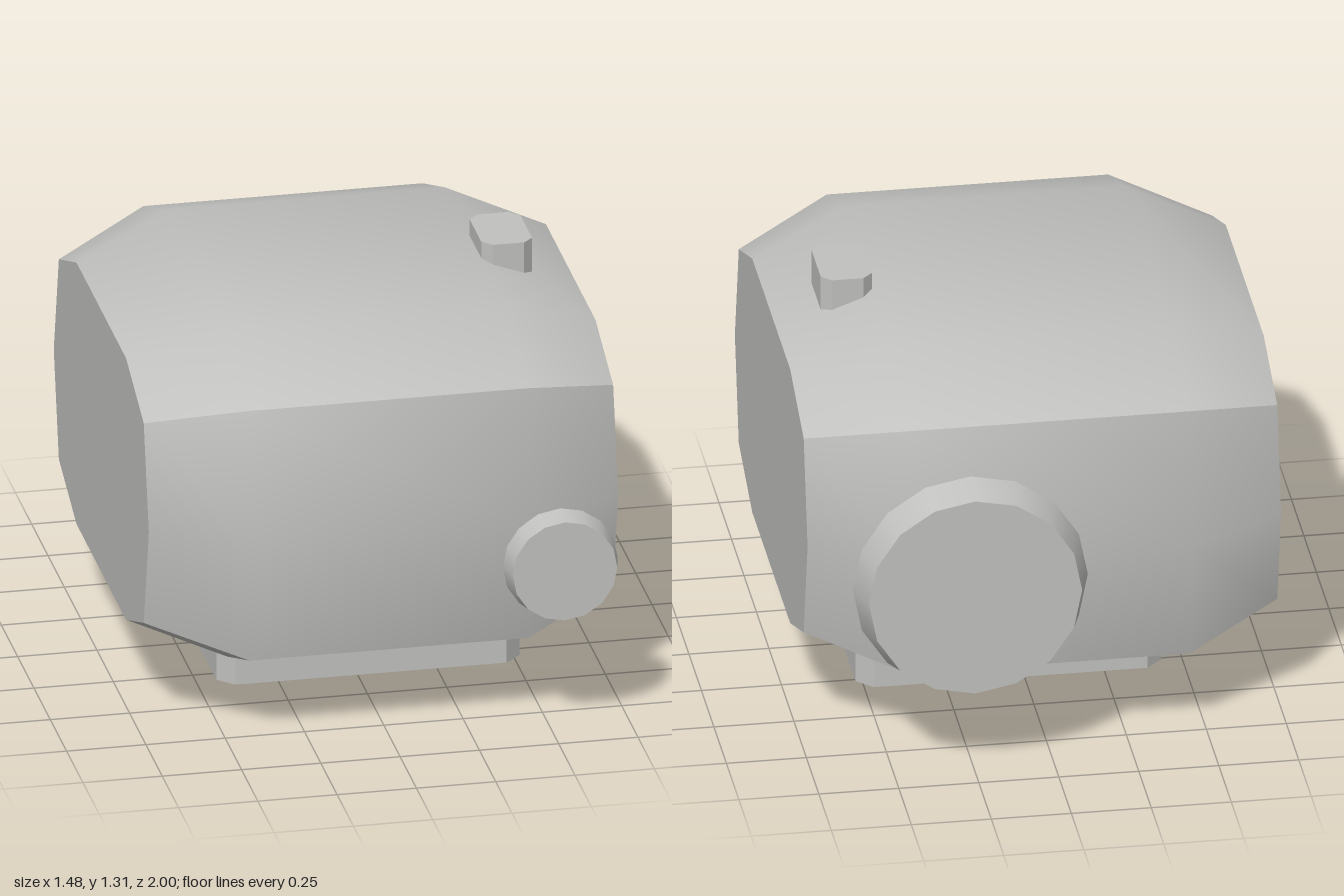
import * as THREE from 'three';
import { toCreasedNormals } from 'three/addons/utils/BufferGeometryUtils.js';

const grey = new THREE.MeshStandardMaterial({ color: 0xc0c0be });
grey.name = 'grey';

function addMesh(group, name, geometry) {
  const mesh = new THREE.Mesh(geometry, grey);
  mesh.name = name;
  group.add(mesh);
  return mesh;
}

// Faceted barrel: one ten-sided section, scaled down towards both ends
function bodyGeometry() {
  const cy = 0.71, cz = 0.018;
  const profile = [
    [0.475, 0.55], [-0.475, 0.55], [-0.813, 0.42], [-0.91, 0], [-0.813, -0.42],
    [-0.475, -0.55], [0.475, -0.55], [0.813, -0.42], [0.91, 0], [0.813, 0.42],
  ];
  const rings = [[-0.74, 0.8], [-0.44, 1], [0.44, 1], [0.74, 0.8]];
  const n = profile.length;
  const positions = [], index = [];
  for (const [x, s] of rings)
    for (const [z, y] of profile) positions.push(x, cy + y * s, cz + z * s);
  for (let r = 0; r < rings.length - 1; r++) {
    for (let j = 0; j < n; j++) {
      const a = r * n + j, b = r * n + (j + 1) % n;
      index.push(a, a + n, b, b, a + n, b + n);
    }
  }
  // Flat end faces
  const last = (rings.length - 1) * n;
  for (let j = 1; j < n - 1; j++) {
    index.push(0, j, j + 1);
    index.push(last, last + j + 1, last + j);
  }
  const geometry = new THREE.BufferGeometry();
  geometry.setAttribute('position', new THREE.Float32BufferAttribute(positions, 3));
  geometry.setIndex(index);
  return toCreasedNormals(geometry, 0.7);
}

// Upright block with four chamfered vertical corners
function chamferedBlock(x0, x1, z0, z1, y0, y1, c) {
  const shape = new THREE.Shape([
    [x0 + c, -z1], [x1 - c, -z1], [x1, -z1 + c], [x1, -z0 - c],
    [x1 - c, -z0], [x0 + c, -z0], [x0, -z0 - c], [x0, -z1 + c],
  ].map(([x, y]) => new THREE.Vector2(x, y)));
  return new THREE.ExtrudeGeometry(shape, { depth: y1 - y0, bevelEnabled: false })
    .rotateX(-Math.PI / 2)
    .translate(0, y0, 0);
}

// Tapered disc lying on the front (dir 1) or the back (dir -1)
function disc(x, y, zBase, zFace, rBase, rFace, dir) {
  return new THREE.CylinderGeometry(rFace, rBase, Math.abs(zFace - zBase), 16)
    .rotateX(dir * Math.PI / 2)
    .translate(x, y, (zBase + zFace) / 2);
}

export function createModel() {
  const model = new THREE.Group();
  model.name = 'model';
  addMesh(model, 'body', bodyGeometry());
  addMesh(model, 'base', chamferedBlock(-0.435, 0.52, -0.31, 0.35, 0, 0.163, 0.05));
  addMesh(model, 'topButton', chamferedBlock(0.44, 0.6, -0.105, 0.137, 1.195, 1.315, 0.031));
  addMesh(model, 'frontDisc', disc(0.52, 0.578, 0.926, 1, 0.181, 0.165, 1));
  addMesh(model, 'backDisc', disc(0.26, 0.643, -0.895, -1, 0.367, 0.333, -1));
  return model;
}
